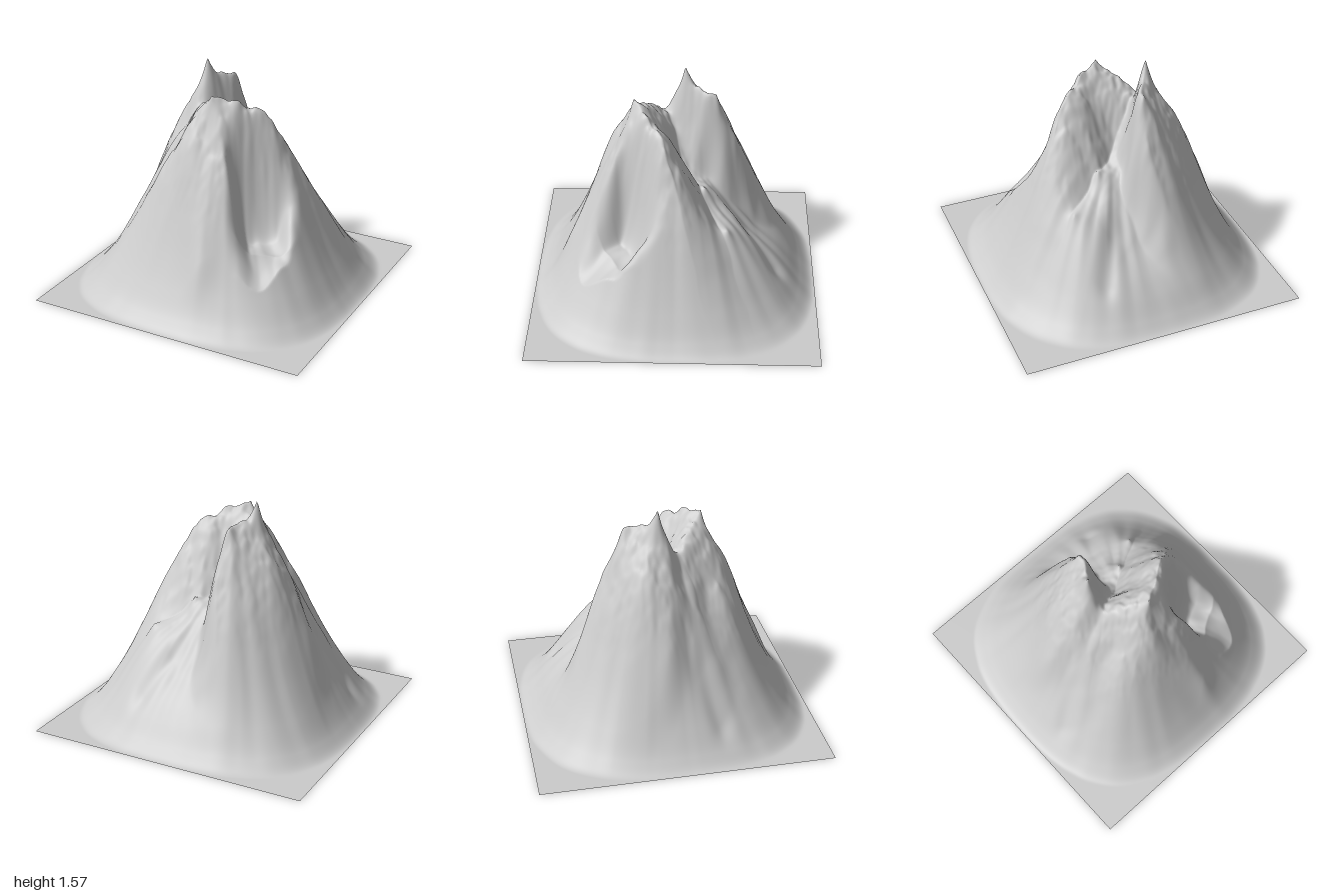
import * as THREE from 'three';

const { clamp, lerp, smoothstep } = THREE.MathUtils;

// Mountain flank: height at every tenth of the way from centre to foot
const FLANK = [1.51, 1.5, 1.45, 1.32, 1.13, 0.91, 0.67, 0.44, 0.24, 0.08, 0, 0.08];

// Summits and hollows: x, z, height, radius
const SUMMITS = [
  [-0.22, -0.06, 0.18, 0.05],
  [-0.12, -0.27, 0.08, 0.06],
  [0, 0.28, 0.12, 0.06],
  [0.2, 0.14, -0.06, 0.1],
  [0.18, -0.2, 0.08, 0.08],
  [0.42, -0.36, 0.06, 0.09],
];

// Buttresses and gullies: start x, z, end x, z, height, width
const SPURS = [
  [-0.44, -0.15, -0.6, -0.08, 0.1, 0.12],
  [-0.08, 0.45, 0.14, 0.72, 0.05, 0.08],
  [-0.62, 0.16, -0.76, 0.26, -0.05, 0.08],
  [0.2, -0.5, 0.32, -0.68, -0.04, 0.07],
];

// Seeded value noise, -1 to 1
function hash(i, j) {
  const s = Math.sin(i * 127.1 + j * 311.7) * 43758.5453;
  return (s - Math.floor(s)) * 2 - 1;
}

function noise(x, y) {
  const i = Math.floor(x), j = Math.floor(y);
  const u = smoothstep(x - i, 0, 1), v = smoothstep(y - j, 0, 1);
  return lerp(
    lerp(hash(i, j), hash(i + 1, j), u),
    lerp(hash(i, j + 1), hash(i + 1, j + 1), u), v);
}

// Smooth curve through the flank heights
function flank(r) {
  const s = clamp(r, 0, 1) * 10, i = Math.min(Math.floor(s), 9), f = s - i;
  const a = FLANK[Math.max(i - 1, 0)], b = FLANK[i], c = FLANK[i + 1], d = FLANK[i + 2];
  return b + 0.5 * f * (c - a + f * (2 * a - 5 * b + 4 * c - d + f * (3 * (b - c) + d - a)));
}

function norm(x, z, p) {
  return Math.pow(Math.abs(x) ** p + Math.abs(z) ** p, 1 / p);
}

function segmentDistance(x, z, ax, az, bx, bz) {
  const dx = bx - ax, dz = bz - az;
  const k = clamp(((x - ax) * dx + (z - az) * dz) / (dx * dx + dz * dz), 0, 1);
  return Math.hypot(x - ax - k * dx, z - az - k * dz);
}

function heightAt(x, z) {
  // Cone that grows a little squarer towards its foot
  const round = norm(x, z, 2.25);
  const r = lerp(round, norm(x, z, 2.8), smoothstep(round, 0.5, 1.1));
  if (r >= 1) return 0;
  let h = flank(r);

  // t runs along the front crest, d is the distance behind it
  const t = 0.84 * x - 0.54 * (z - 0.28);
  const d = -0.54 * x - 0.84 * (z - 0.28) + 0.012 * noise(t * 14, 3);

  // Canyon between the crest and the round western massif
  const wobble = 0.02 * noise(x * 9, z * 9);
  const wall = smoothstep(Math.hypot(x + 0.42, z + 0.35) + wobble, 0.32, 0.48);
  const along = lerp(0.32, 1, smoothstep(t, -0.1, 0.3)) * (1 - 0.75 * smoothstep(t, 0.45, 0.95))
    * smoothstep(t, -0.8, -0.1);
  const across = clamp(d / 0.28, 0, 1) * (1 - smoothstep(d, 0.65, 1.1));
  h *= 1 - 0.43 * along * across * wall;

  // Gully running down the front right flank
  h *= 1 - 0.09 * smoothstep(-t, 0.05, 0.3) * Math.exp(-(((d - 0.17 + 0.15 * t) / 0.09) ** 2));

  // Steep alcove with a narrow floor below the crest, easing away past its lip
  const off = t - 0.32 + wobble;
  const side = 1 - smoothstep(Math.abs(off), 0.1, 0.27);
  const depth = smoothstep(-d, 0.02, 0.26);
  const floor = (0.47 + 0.03 * noise(x * 8, z * 8) + 0.2 * Math.max(0, Math.abs(off) - 0.06))
    * Math.exp(-2 * Math.max(0, -d - 0.38));
  h = lerp(h, Math.min(h, floor), side * depth);

  // Summits, buttresses and gullies
  for (const [sx, sz, up, size] of SUMMITS) {
    h += up * Math.exp(-Math.hypot(x - sx, z - sz) / size * 1.2);
  }
  for (const [ax, az, bx, bz, up, width] of SPURS) {
    h += up * Math.exp(-((segmentDistance(x, z, ax, az, bx, bz) / width) ** 2));
  }

  // Erosion running downhill, and broken rock near the top
  const q = Math.hypot(x, z) + 0.001;
  const cx = x / q, cz = z / q;
  const slope = Math.sin(Math.PI * r) * smoothstep(r, 0.1, 0.4);
  const gully = 0.6 * noise(cx * 3.5 + x * 2 + 7, cz * 3.5 + z * 2)
    + 0.4 * noise(cx * 8 + x * 2, cz * 8 + z * 2 + 5);
  h += 0.035 * slope * gully;
  h += 0.015 * smoothstep(h, 0.5, 1.3) * (noise(x * 12, z * 12) + 0.7 * noise(x * 32, z * 32));
  return Math.max(0, h);
}

export function createModel() {
  const group = new THREE.Group();
  group.name = 'mountain';

  // One open sheet of terrain
  const geometry = new THREE.PlaneGeometry(2, 2, 220, 220).rotateX(-Math.PI / 2);
  const pos = geometry.attributes.position;
  for (let i = 0; i < pos.count; i++) pos.setY(i, heightAt(pos.getX(i), pos.getZ(i)));
  geometry.computeVertexNormals();

  const terrain = new THREE.Mesh(
    geometry,
    new THREE.MeshStandardMaterial({ color: 0xcccccc, side: THREE.DoubleSide }));
  terrain.name = 'terrain';
  group.add(terrain);
  return group;
}
